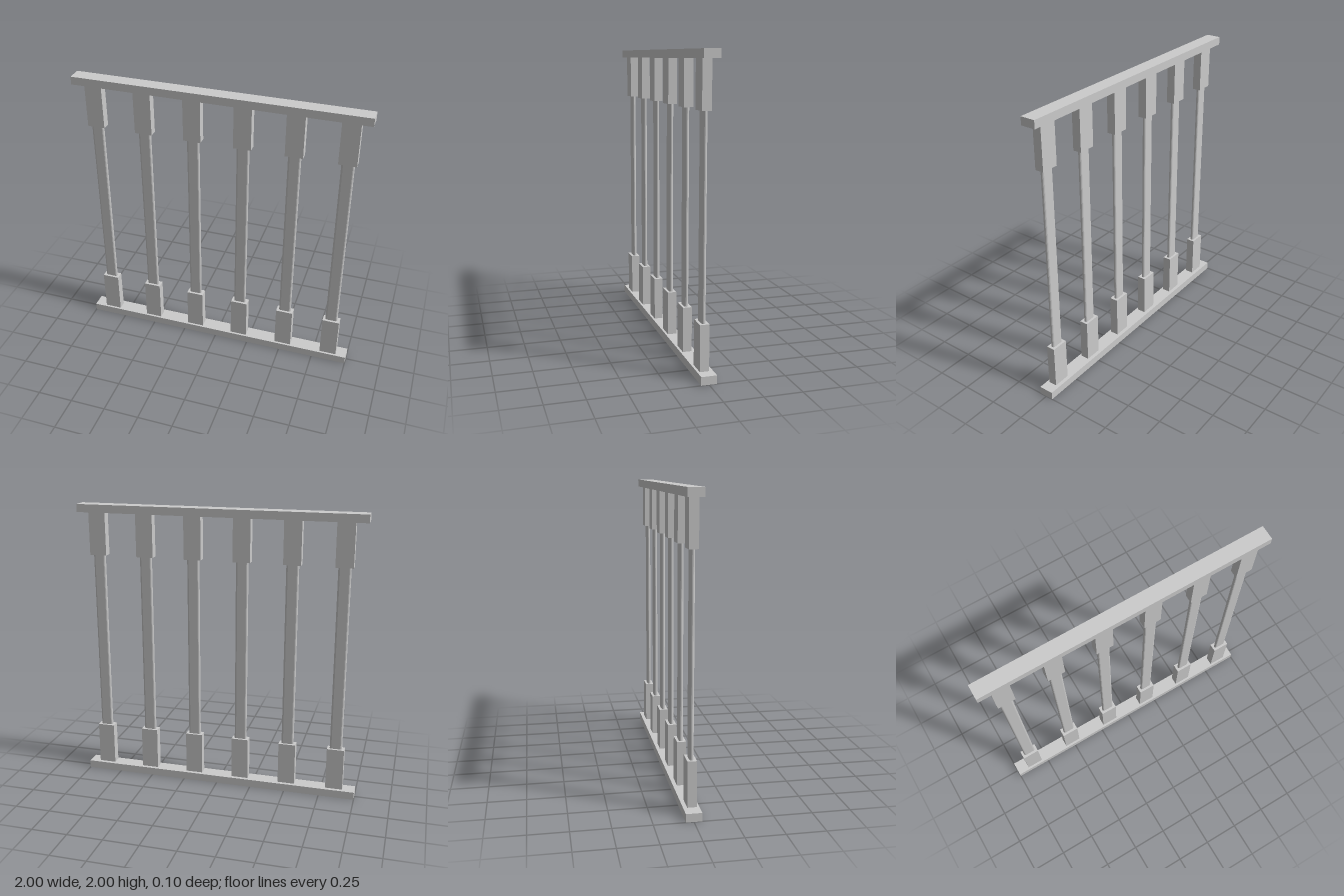
import * as THREE from 'three';

const material = new THREE.MeshStandardMaterial({ color: 0xcccccc, flatShading: true });

function addMesh(parent, name, geometry, x, y, z) {
  const mesh = new THREE.Mesh(geometry, material);
  mesh.name = name;
  mesh.position.set(x, y, z);
  parent.add(mesh);
}

// Flat bar with half-round edges, standing upright from y = 0
function shaftGeometry(width, depth, height) {
  const r = depth / 2;
  const flat = width / 2 - r;
  const section = new THREE.Shape();
  section.moveTo(-flat, -r);
  section.lineTo(flat, -r);
  section.absarc(flat, 0, r, -Math.PI / 2, Math.PI / 2, false);
  section.lineTo(-flat, r);
  section.absarc(-flat, 0, r, Math.PI / 2, Math.PI * 1.5, false);
  return new THREE.ExtrudeGeometry(section, { depth: height, bevelEnabled: false, curveSegments: 6 })
    .rotateX(-Math.PI / 2);
}

export function createModel() {
  const model = new THREE.Group();
  model.name = 'balustrade';

  const railHeight = 0.055;
  const blockHeight = 0.3;
  const shaftBottom = railHeight + blockHeight;
  const shaftHeight = 2 - 2 * shaftBottom;

  // Rails
  const rail = new THREE.BoxGeometry(2, railHeight, 0.102);
  addMesh(model, 'bottomRail', rail, 0, railHeight / 2, 0);
  addMesh(model, 'topRail', rail, 0, 2 - railHeight / 2, 0);

  // Balusters: a shaft between two square-edged blocks
  const block = new THREE.BoxGeometry(0.12, blockHeight, 0.06);
  const shaft = shaftGeometry(0.087, 0.026, shaftHeight);
  const count = 6;
  const pitch = 0.344;
  for (let i = 0; i < count; i++) {
    const baluster = new THREE.Group();
    baluster.name = `baluster${i + 1}`;
    baluster.position.set(0.006 + (i - (count - 1) / 2) * pitch, 0, 0.005);
    addMesh(baluster, 'bottomBlock', block, 0, railHeight + blockHeight / 2, 0);
    addMesh(baluster, 'shaft', shaft, 0, shaftBottom, 0);
    addMesh(baluster, 'topBlock', block, 0, 2 - railHeight - blockHeight / 2, 0);
    model.add(baluster);
  }
  return model;
}
